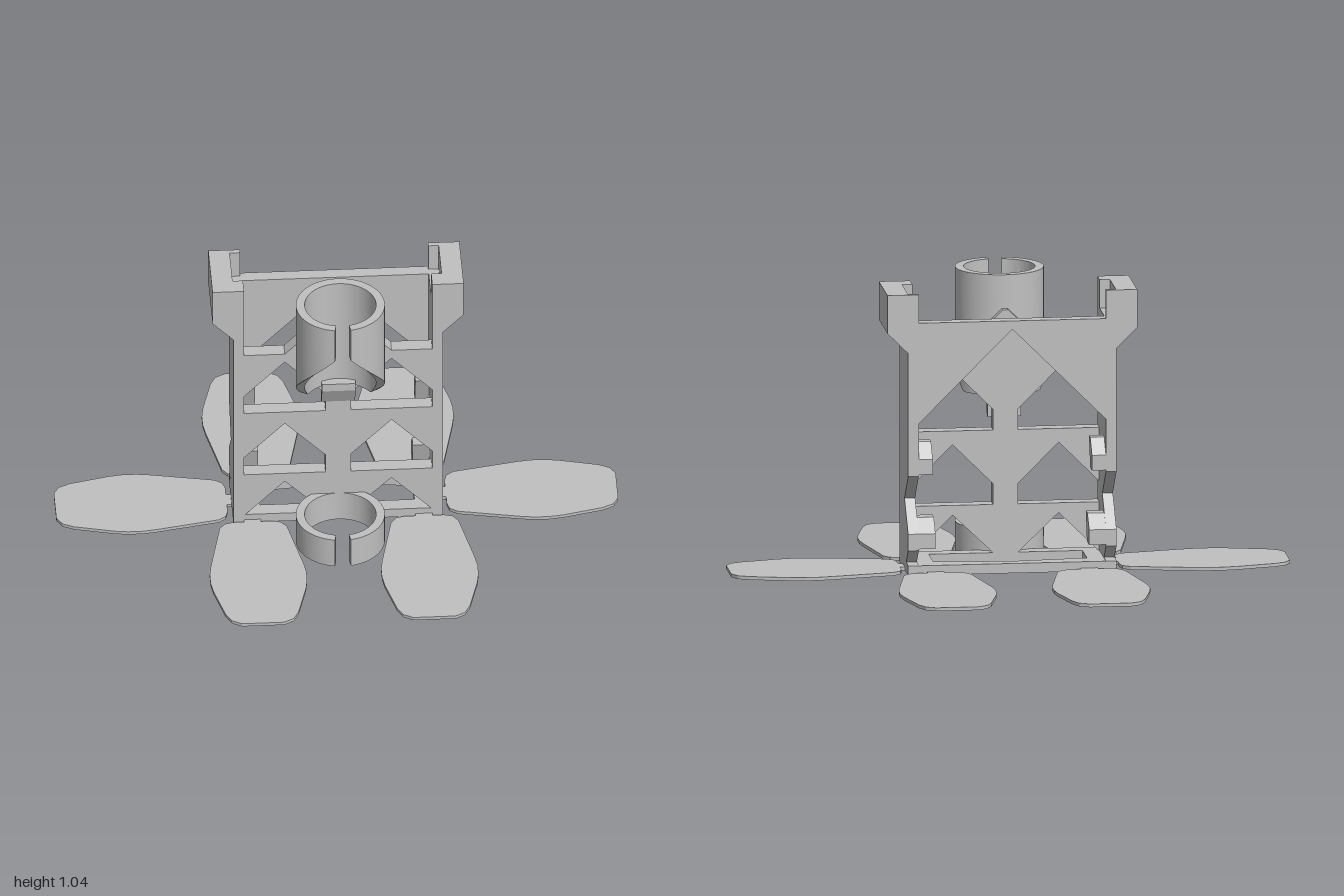
import * as THREE from 'three';
import { toCreasedNormals } from 'three/addons/utils/BufferGeometryUtils.js';

const grey = new THREE.MeshStandardMaterial({ color: 0xc0c0c0 });
grey.name = 'light grey plastic';

const toPoints = (pts) => pts.map(([x, y]) => new THREE.Vector2(x, y));

function extrude(outline, depth, holes = []) {
  const shape = new THREE.Shape(toPoints(outline));
  holes.forEach((h) => shape.holes.push(new THREE.Path(toPoints(h))));
  return new THREE.ExtrudeGeometry(shape, { depth, bevelEnabled: false });
}

// outline in (x, y), running from z0 to z1
const frontPlate = (outline, z0, z1, holes) => extrude(outline, z1 - z0, holes).translate(0, 0, z0);
// outline in (z, y), running from x0 to x1
const sidePlate = (outline, x0, x1) => extrude(outline, x1 - x0).rotateY(-Math.PI / 2).translate(x1, 0, 0);
// outline in (x, z), running from y = 0 to the given height
const floorPlate = (outline, height, holes) =>
  extrude(outline, height, holes).rotateX(Math.PI / 2).translate(0, height, 0);

const box = (x0, x1, y0, y1, z0, z1) =>
  new THREE.BoxGeometry(x1 - x0, y1 - y0, z1 - z0).translate((x0 + x1) / 2, (y0 + y1) / 2, (z0 + z1) / 2);

// Split ring, open at the front; bottom(angle) gives its lower edge, angle 0 at the back
function splitRing(bottom, top) {
  const outer = 0.158, inner = 0.127, cz = 0.252, gap = 0.18, steps = 72;
  const section = (i) => {
    const a = (Math.PI - gap) * ((2 * i) / steps - 1);
    const low = bottom(Math.abs(a));
    return [[outer, low], [outer, top], [inner, top], [inner, low]].map(([r, y]) =>
      [r * Math.sin(a), y, cz - r * Math.cos(a)]);
  };
  const out = [];
  const quad = (a, b, c, d) => out.push(...a, ...b, ...c, ...a, ...c, ...d);
  for (let i = 0; i < steps; i++) {
    const s = section(i), t = section(i + 1);
    for (let k = 0; k < 4; k++) {
      const n = (k + 1) % 4;
      quad(s[k], s[n], t[n], t[k]);
    }
  }
  const first = section(0), last = section(steps);
  quad(first[3], first[2], first[1], first[0]);
  quad(last[0], last[1], last[2], last[3]);
  const g = new THREE.BufferGeometry();
  g.setAttribute('position', new THREE.Float32BufferAttribute(out, 3));
  return toCreasedNormals(g, 0.5);
}

// Flat foot pad growing along +z from its root
function padGeometry() {
  const half = [[0.07, 0], [0.1, 0.008], [0.12, 0.035], [0.165, 0.26], [0.172, 0.31],
    [0.172, 0.36], [0.165, 0.41], [0.13, 0.55], [0.11, 0.59], [0.075, 0.61]];
  const other = half.map(([x, z]) => [-x, z]).reverse();
  return floorPlate([...half, ...other], 0.012);
}

export function createModel() {
  const model = new THREE.Group();
  model.name = 'stand';
  const add = (name, geometry) => {
    const mesh = new THREE.Mesh(geometry, grey);
    mesh.name = name;
    model.add(mesh);
    return mesh;
  };

  // Front truss wall with house-shaped openings
  const holes = [];
  for (const s of [-1, 1]) {
    for (const y of [0.21, 0.48]) {
      holes.push([[0.045, y], [0.335, y], [0.335, y + 0.075], [0.19, y + 0.22], [0.045, y + 0.075]]
        .map(([x, h]) => [s * x, h]));
    }
    holes.push([[0.045, 0.035], [0.33, 0.035], [0.19, 0.175]].map(([x, h]) => [s * x, h]));
  }
  add('frontWall', frontPlate([[-0.345, 0], [0.345, 0], [0.345, 0.735], [0.19, 0.735], [0.01, 0.915],
    [-0.01, 0.915], [-0.19, 0.735], [-0.345, 0.735]], 0.07, 0.125, holes));

  // Back wall: a top band with two corner gussets
  add('backWall', frontPlate([[-0.345, 0.54], [0, 0.885], [0.345, 0.54], [0.345, 0.915],
    [-0.345, 0.915]], -0.127, -0.08));

  // Base frame
  add('baseFrame', floorPlate([[-0.373, -0.127], [0.373, -0.127], [0.373, 0.125], [-0.373, 0.125]], 0.035,
    [[[-0.275, 0.07], [0.275, 0.07], [0.275, -0.06], [0, -0.085], [-0.275, -0.06]]]));

  // Side walls, corner blocks and top brackets
  const wall = [[0.125, 0], [0.125, 0.915], [-0.127, 0.915], [-0.127, 0.36], [-0.02, 0.26],
    [-0.127, 0.15], [-0.127, 0.09], [-0.07, 0.038], [-0.127, 0.035], [-0.127, 0]];
  const lowerBlock = [[-0.127, 0.095], [-0.127, 0.15], [-0.075, 0.2], [-0.03, 0.2], [-0.06, 0.095]];
  const upperBlock = [[-0.127, 0.365], [-0.127, 0.42], [-0.075, 0.475], [-0.04, 0.475], [-0.075, 0.365]];
  for (const s of [-1, 1]) {
    const side = s > 0 ? 'left' : 'right';
    const span = (a, b) => (s > 0 ? [a, b] : [-b, -a]);
    add(side + 'Wall', sidePlate(wall, ...span(0.335, 0.373)));
    add(side + 'LowerBlock', sidePlate(lowerBlock, ...span(0.275, 0.34)));
    add(side + 'UpperBlock', sidePlate(upperBlock, ...span(0.285, 0.34)));
    const bracket = [[0.372, 0.805], [0.447, 0.88], [0.447, 1.018], [0.372, 1.018]].map(([x, y]) => [s * x, y]);
    add(side + 'Bracket', frontPlate(bracket, -0.127, 0.125));
    add(side + 'BracketFrontLip', box(...span(0.335, 0.374), 0.91, 1.018, 0.06, 0.125));
    add(side + 'BracketBackLip', box(...span(0.335, 0.374), 0.91, 1.018, -0.127, -0.108));
  }

  // Tube holder: upper sleeve with a 45 degree spiral lower edge, its tapered root, and a lower ring
  add('upperSleeve', splitRing((a) => Math.max(0.6, 0.93 - 0.158 * (Math.PI - a)), 1.037));
  add('sleeveRoot', sidePlate([[0.11, 0.52], [0.125, 0.52], [0.16, 0.59], [0.16, 0.62], [0.11, 0.62]],
    -0.06, 0.06));
  add('lowerRing', splitRing(() => 0, 0.115));

  // Foot pads with their thin tabs
  const pad = padGeometry();
  for (const s of [-1, 1]) {
    const front = add('frontPad', pad);
    front.position.set(s * 0.305, 0, 0.138);
    const back = add('backPad', pad);
    back.position.set(s * 0.275, 0, -0.145);
    back.rotation.y = Math.PI;
    const side = add('sidePad', pad);
    side.position.set(s * 0.39, 0, 0);
    side.rotation.y = s * Math.PI / 2;
    add('frontTab', box(s * 0.305 - 0.03, s * 0.305 + 0.03, 0, 0.012, 0.12, 0.145));
    add('backTab', box(s * 0.275 - 0.03, s * 0.275 + 0.03, 0, 0.012, -0.15, -0.12));
    add('sideTab', box(s * 0.38 - 0.02, s * 0.38 + 0.02, 0, 0.012, -0.03, 0.03));
  }
  return model;
}
